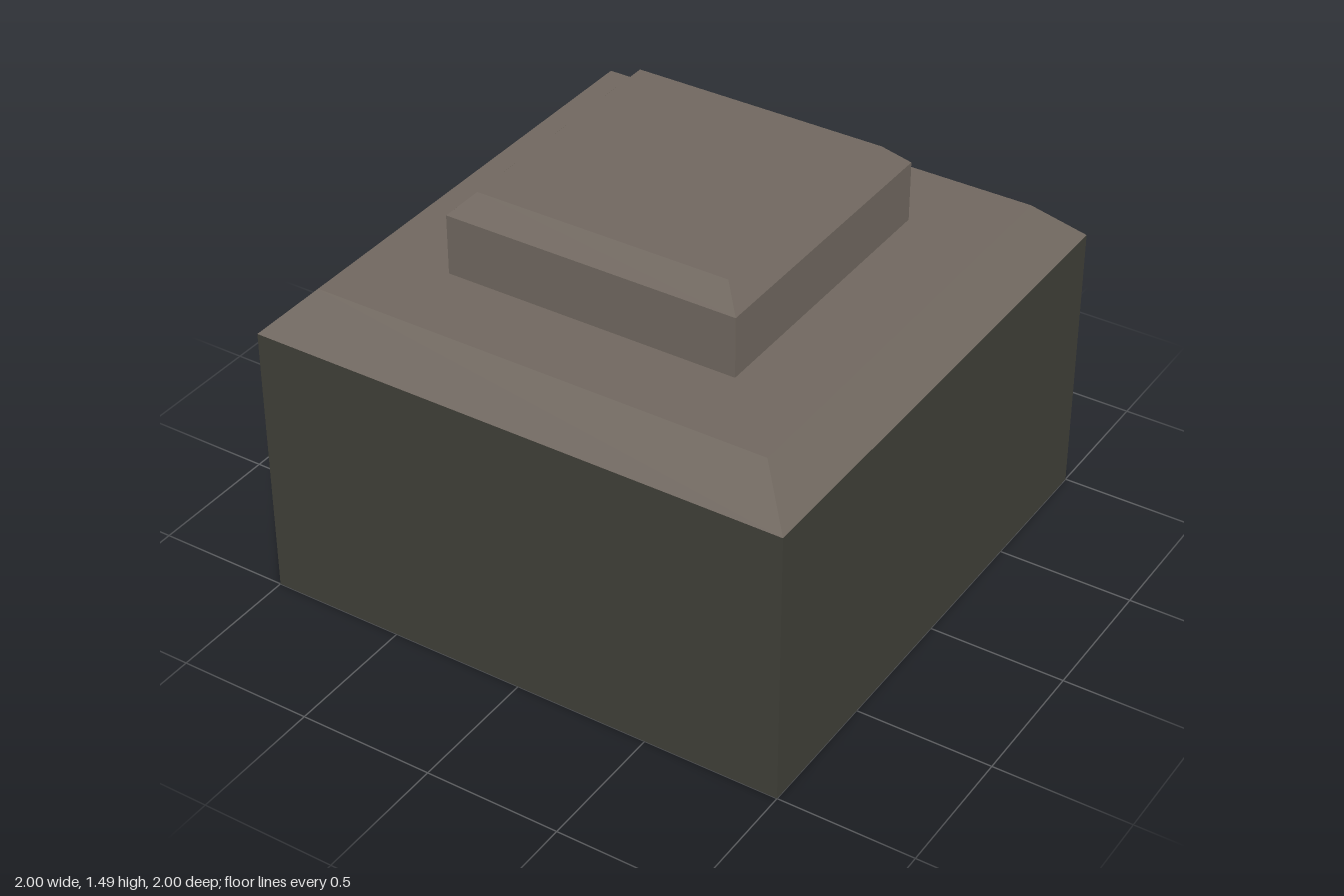
import * as THREE from 'three';

const stone = new THREE.MeshStandardMaterial({ color: 0x70675f, side: THREE.DoubleSide, flatShading: true });
stone.name = 'warm grey stone';
const darkWall = new THREE.MeshStandardMaterial({ color: 0x3f3f38, side: THREE.DoubleSide, flatShading: true });
darkWall.name = 'dark olive wall';

// Square shell swept from a profile of [half width, height] pairs, bottom to top
function squareShell(name, profile, material) {
  const points = profile.map(([half, y]) => new THREE.Vector2(half * Math.SQRT2, y));
  const geometry = new THREE.LatheGeometry(points, 4, Math.PI / 4).toNonIndexed();
  geometry.computeVertexNormals();
  const mesh = new THREE.Mesh(geometry, material);
  mesh.name = name;
  return mesh;
}

export function createModel() {
  const model = new THREE.Group();
  model.name = 'steppedBlock';

  // Hollow lower walls, open at the bottom
  model.add(squareShell('walls', [[1, 0], [1, 1.04]], darkWall));

  // Sloped shoulder and flat ledge
  model.add(squareShell('shoulder', [[1, 1.04], [0.853, 1.187], [0.55, 1.187]], stone));

  // Raised block with chamfered rim and closed top
  model.add(squareShell('cap', [[0.55, 1.187], [0.55, 1.41], [0.476, 1.485], [0, 1.485]], stone));

  return model;
}
